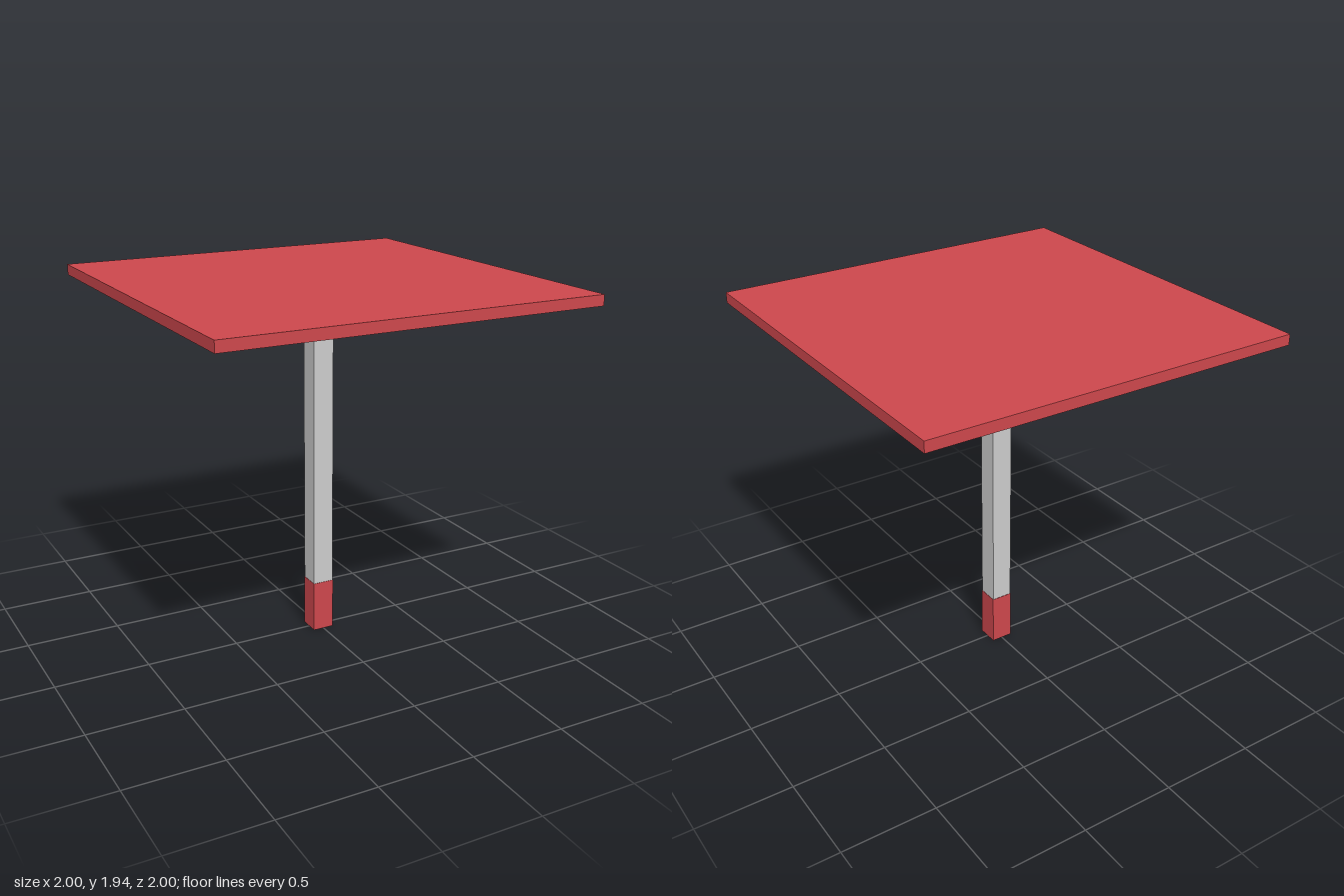
import * as THREE from 'three';

const red = new THREE.MeshStandardMaterial({ color: 0xcc474c });
const grey = new THREE.MeshStandardMaterial({ color: 0xcccccc });

// Square slab of the given width, spanning bottom to top in y
function slab(name, width, bottom, top, material) {
  const mesh = new THREE.Mesh(new THREE.BoxGeometry(width, top - bottom, width), material);
  mesh.name = name;
  mesh.position.y = (bottom + top) / 2;
  return mesh;
}

export function createModel() {
  const model = new THREE.Group();
  model.name = 'squareTable';
  model.add(
    slab('tableTop', 2, 1.88, 1.936, red),
    slab('post', 0.112, 0.27, 1.88, grey),
    // Sleeve around the foot of the post, a touch wider than it
    slab('footSleeve', 0.116, 0, 0.278, red)
  );
  return model;
}
